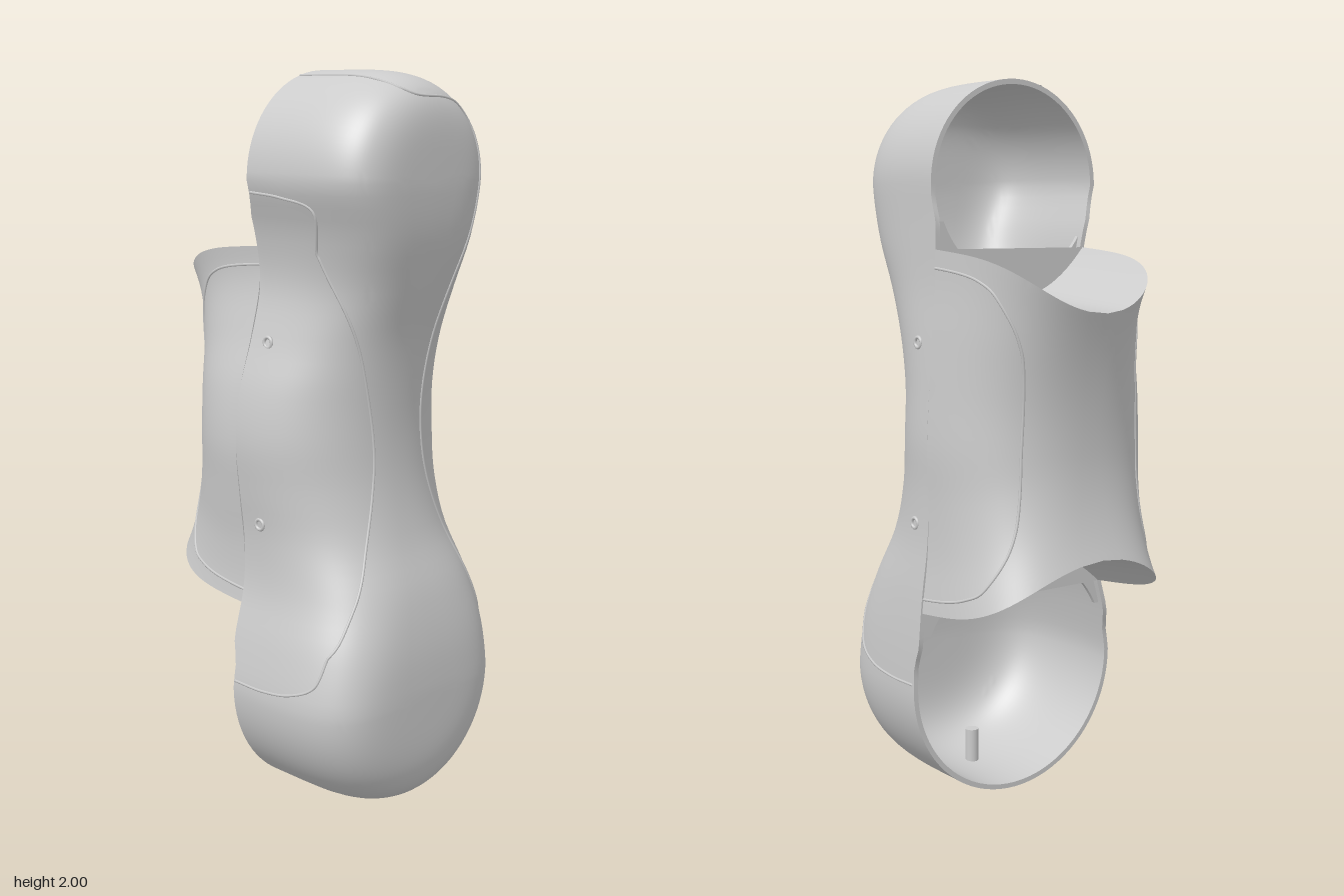
import * as THREE from 'three';
import { toCreasedNormals } from 'three/addons/utils/BufferGeometryUtils.js';

const mat = new THREE.MeshStandardMaterial({ color: 0xcccccc, side: THREE.DoubleSide });
const Y0 = 0.35, Y1 = 1.72, BACK = -0.015;   // lobe centres and rear rim plane
const clamp = THREE.MathUtils.clamp;

// Evenly spaced values along the height, clamped past the lobe centres
function along(values) {
  const curve = new THREE.SplineCurve(values.map((v, i) => new THREE.Vector2(i, v)));
  return y => curve.getPoint(clamp((y - Y0) / (Y1 - Y0), 0, 1)).y;
}
const leftEdge = along([0.35, 0.325, 0.29, 0.285, 0.3, 0.312, 0.295, 0.25, 0.218, 0.235, 0.28]);   // -x side
const rightEdge = along([0.35, 0.345, 0.333, 0.315, 0.31, 0.313, 0.305, 0.295, 0.283, 0.28, 0.28]); // +x side
const frontDepth = along([0.4, 0.39, 0.36, 0.31, 0.28, 0.27, 0.277, 0.297, 0.335, 0.368, 0.38]);
const squareness = along([4.5, 4, 3.2, 2.5, 2.2, 2.1, 2.1, 2.4, 3, 4, 4.8]);
const halfWidth = (sign, y) => (sign > 0 ? rightEdge(y) : leftEdge(y));

// Closed rings of equal length joined into a surface
function loft(rings, crease) {
  const n = rings[0].length, pos = rings.flat().flatMap(p => p.toArray()), index = [];
  for (let i = 0; i < rings.length - 1; i++) {
    for (let j = 0; j < n; j++) {
      const a = i * n + j, b = i * n + (j + 1) % n;
      index.push(a, b, b + n, a, b + n, a + n);
    }
  }
  const g = new THREE.BufferGeometry();
  g.setAttribute('position', new THREE.Float32BufferAttribute(pos, 3));
  g.setIndex(index);
  return toCreasedNormals(g, crease);
}

function add(group, name, geometry) {
  const mesh = new THREE.Mesh(geometry, mat);
  mesh.name = name;
  group.add(mesh);
  return mesh;
}

// Outline as spine height plus offset, counter-clockwise from the front
function outline() {
  const pts = [], arc = 40, side = 44;
  for (let i = 0; i < arc; i++) {
    const a = Math.PI * (1 + i / arc);
    pts.push([Y0, Y0 * Math.cos(a), Y0 * Math.sin(a)]);
  }
  for (let i = 0; i < side; i++) {
    const y = Y0 + (Y1 - Y0) * i / side;
    pts.push([y, rightEdge(y), 0]);
  }
  for (let i = 0; i < arc; i++) {
    const a = Math.PI * i / arc;
    pts.push([Y1, 0.28 * Math.cos(a), 0.28 * Math.sin(a)]);
  }
  for (let i = 0; i < side; i++) {
    const y = Y1 - (Y1 - Y0) * i / side;
    pts.push([y, -leftEdge(y), 0]);
  }
  return pts;
}

// Rear lip that steps back along the waist
const lip = y => BACK - 0.02 * clamp(Math.min((y - 0.42) / 0.06, (1.68 - y) / 0.06), 0, 1);

function shellGeometry() {
  const pts = outline(), steps = 26, wall = 0.014, rings = [];
  const ring = (f, inset) => pts.map(([sy, dx, dy]) => {
    const n = squareness(sy), a = f * Math.PI / 2;
    const r = Math.pow(Math.sin(a), 2 / n) * (1 - inset / Math.hypot(dx, dy));
    const h = f === 1 ? 0 : Math.pow(Math.cos(a), 2 / n);
    return new THREE.Vector3(dx * r, sy + dy * r, BACK + (frontDepth(sy) - inset - BACK) * h);
  });
  const rim = inset => ring(1, inset).map(p => p.setZ(lip(p.y)));
  for (let i = 0; i <= steps; i++) rings.push(ring(i / steps, wall));
  rings.push(rim(wall), rim(0));
  for (let i = steps; i >= 0; i--) rings.push(ring(i / steps, 0));
  return loft(rings, 0.6);
}

// Point on the shell front above (x, y)
function onFront(x, y) {
  const sy = clamp(y, Y0, Y1), n = squareness(sy);
  const r = Math.min(0.995, Math.hypot(x / halfWidth(x, sy), (y - sy) / halfWidth(x, sy)));
  return new THREE.Vector3(x, y, BACK + (frontDepth(sy) - BACK) * Math.pow(1 - r ** n, 1 / n));
}
const wallRatio = (y, z) => {
  const n = squareness(y);
  return Math.pow(1 - ((z - BACK) / (frontDepth(y) - BACK)) ** n, 1 / n);
};
// Point on the shell side wall at (y, z)
const onSide = (sign, y, z) => new THREE.Vector3(sign * halfWidth(sign, y) * wallRatio(y, z), y, z);
// Point on the top of the upper lobe at (x, z)
const onTop = (x, z) => new THREE.Vector3(x, Y1 + Math.sqrt((0.28 * wallRatio(Y1, z)) ** 2 - x * x), z);

const smooth = (pairs, count) => new THREE.SplineCurve(pairs.map(p => new THREE.Vector2(...p))).getPoints(count);
const seam = points => new THREE.TubeGeometry(new THREE.CatmullRomCurve3(points), 160, 0.004, 6);

// Point on the grip: angle round the back, height fraction, and cap scale
function onGrip(angle, v, k = 1) {
  const yMid = 0.62 + 0.9 * v, c = Math.cos(angle), s = Math.max(0, Math.sin(angle));
  const n = 2.4 + 6 * (v - 0.5) ** 2, w = halfWidth(c, yMid);
  const depth = 0.305 + (v > 0.42 ? 0.185 : 0.3) * (v - 0.42) ** 2;
  const x = k * Math.sign(c) * w * Math.pow(Math.abs(c), 2 / n);
  const d = 0.035 + k * depth * Math.pow(s, 2 / n), q = (x / w) ** 2;
  const top = 1.42 + 0.13 * q - 0.08 * d, bottom = 0.7 - 0.13 * q + 0.1 * d;
  return new THREE.Vector3(x, bottom + (top - bottom) * v, -d);
}

function gripGeometry() {
  const rings = [], caps = 12, steps = 36, around = 56;
  const ring = (v, k) => Array.from({ length: around + 1 }, (_, i) => onGrip(Math.PI * i / around, v, k));
  for (let i = 0; i < caps; i++) rings.push(ring(0, i / caps));
  for (let i = 0; i <= steps; i++) rings.push(ring(i / steps, 1));
  for (let i = caps - 1; i >= 0; i--) rings.push(ring(1, i / caps));
  return loft(rings, 0.9);
}

// Flat web behind the waist, cut round by the two cup openings
function webGeometry() {
  const s = new THREE.Shape(), m = 0.008, lo = 0.5, hi = 1.62;
  const ys = Array.from({ length: 25 }, (_, i) => lo + (hi - lo) * i / 24);
  const arc = (cy, r, y) => Math.asin((y - cy) / r);
  const a = arc(Y0, 0.33, lo), b = arc(Y1, 0.262, hi);
  s.moveTo(rightEdge(lo) - m, lo);
  ys.forEach(y => s.lineTo(rightEdge(y) - m, y));
  s.absarc(0, Y1, 0.262, b, -Math.PI - b, true);
  ys.reverse().forEach(y => s.lineTo(-leftEdge(y) + m, y));
  s.absarc(0, Y0, 0.33, Math.PI - a, a, true);
  return new THREE.ExtrudeGeometry(s, { depth: 0.012, bevelEnabled: false, curveSegments: 32 });
}

export function createModel() {
  const model = new THREE.Group();
  model.name = 'handset';
  add(model, 'frontShell', shellGeometry());
  add(model, 'rearWeb', webGeometry()).position.z = -0.018;
  add(model, 'rearGrip', gripGeometry());

  // Panel seams on the front shell
  const rightRun = smooth([[0.3, 0.5], [0.2, 0.72], [0.13, 0.9], [0.1, 1.05], [0.1, 1.2], [0.13, 1.4], [0.185, 1.6],
    [0.205, 1.75], [0.19, 1.85], [0.14, 1.91], [0.07, 1.93], [-0.03, 1.935], [-0.07, 1.95]], 70);
  add(model, 'rightPanelSeam', seam([
    ...[[0.37, -0.01], [0.37, 0.1], [0.385, 0.2], [0.42, 0.27]].map(p => onSide(1, ...p)),
    ...rightRun.map(p => onFront(p.x, p.y)),
    ...[0.27, 0.2, 0.1, -0.01].map(z => onTop(-0.09, z)),
  ]));
  const leftRun = smooth([[-0.22, 1.54], [-0.18, 1.4], [-0.13, 1.25], [-0.09, 1.05], [-0.1, 0.9],
    [-0.16, 0.72], [-0.25, 0.56], [-0.29, 0.5]], 50);
  add(model, 'leftPanelSeam', seam([
    ...[[1.69, -0.01], [1.68, 0.1], [1.65, 0.2]].map(p => onSide(-1, ...p)),
    ...leftRun.map(p => onFront(p.x, p.y)),
    ...[[0.42, 0.27], [0.385, 0.2], [0.37, 0.1], [0.37, -0.01]].map(p => onSide(-1, ...p)),
  ]));

  // Panel seams on both flanks of the grip
  const flank = smooth([[0, 0.95], [0.3, 0.94], [0.55, 0.91], [0.85, 0.82], [0.95, 0.68], [0.95, 0.32],
    [0.85, 0.16], [0.55, 0.07], [0.3, 0.05], [0, 0.04]], 80);
  add(model, 'gripSeamRight', seam(flank.map(p => onGrip(p.x, p.y))));
  add(model, 'gripSeamLeft', seam(flank.map(p => onGrip(Math.PI - p.x, p.y))));

  // Screw sockets on the sides and the top
  const socket = new THREE.TorusGeometry(0.014, 0.005, 8, 20);
  for (const sign of [1, -1]) {
    for (const y of [1.3, 0.81]) {
      const ring = add(model, 'screwSocket', socket);
      ring.position.copy(onSide(sign, y, 0.03));
      ring.rotation.y = Math.PI / 2;
    }
  }
  const topSocket = add(model, 'topSocket', socket);
  topSocket.position.set(0, 1.995, 0.088);
  topSocket.rotation.x = Math.PI / 2;

  // Locating peg inside the lower cup
  add(model, 'locatingPeg', new THREE.CylinderGeometry(0.02, 0.02, 0.1, 16)).position.set(0, 0.065, 0.2);
  return model;
}
